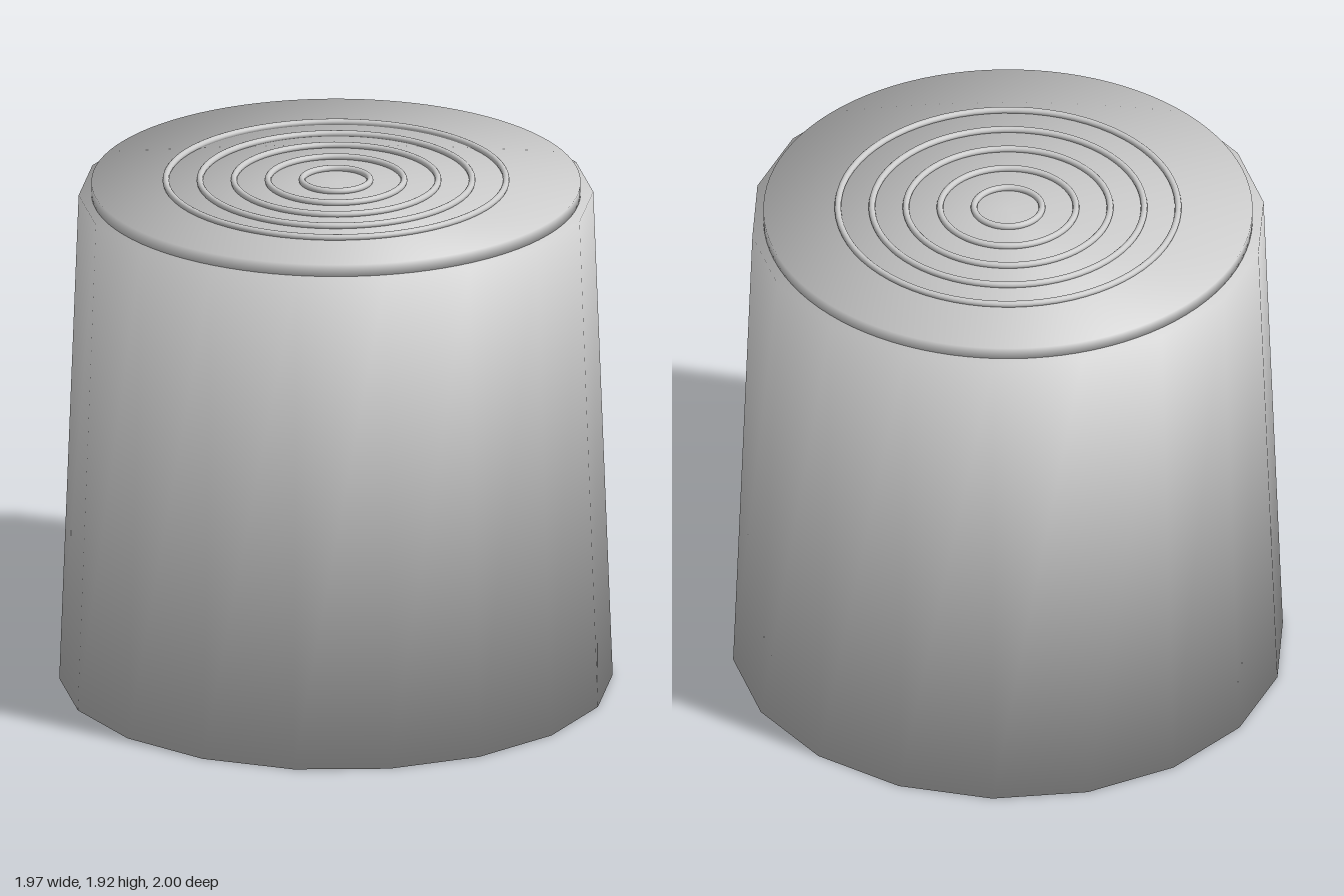
import * as THREE from 'three';

// Closed drum whose normals are shared across the rims, so walls and caps shade as one soft form
function softDrum(topRadius, bottomRadius, y0, y1, sides) {
  const geometry = new THREE.CylinderGeometry(topRadius, bottomRadius, y1 - y0, sides);
  const { position, normal } = geometry.attributes;
  for (let i = 0; i < position.count; i++) {
    const up = Math.sign(position.getY(i));
    const radius = up > 0 ? topRadius : bottomRadius;
    normal.setXYZ(i, position.getX(i) / radius, up, position.getZ(i) / radius);
    normal.setXYZ(i, normal.getX(i) * Math.SQRT1_2, up * Math.SQRT1_2, normal.getZ(i) * Math.SQRT1_2);
  }
  return geometry.translate(0, (y0 + y1) / 2, 0);
}

export function createModel() {
  const model = new THREE.Group();
  model.name = 'ringedDrum';
  const grey = new THREE.MeshStandardMaterial({ color: 0xcccccc });
  grey.name = 'light grey';

  const add = (name, geometry, parent = model) => {
    const mesh = new THREE.Mesh(geometry, grey);
    mesh.name = name;
    parent.add(mesh);
    return mesh;
  };

  // Tapered eighteen-sided body, with a corner facing front
  add('body', softDrum(0.93, 1, 0, 1.855, 18));

  // Round disc on top
  add('topDisc', softDrum(0.884, 0.884, 1.85, 1.9, 96));

  // Five evenly spaced concentric rings
  const rings = new THREE.Group();
  rings.name = 'rings';
  model.add(rings);
  for (let i = 1; i <= 5; i++) {
    const ring = new THREE.TorusGeometry(0.123 * i, 0.012, 12, 72);
    ring.rotateX(-Math.PI / 2).translate(0, 1.908, 0);
    add('ring' + i, ring, rings);
  }
  return model;
}
